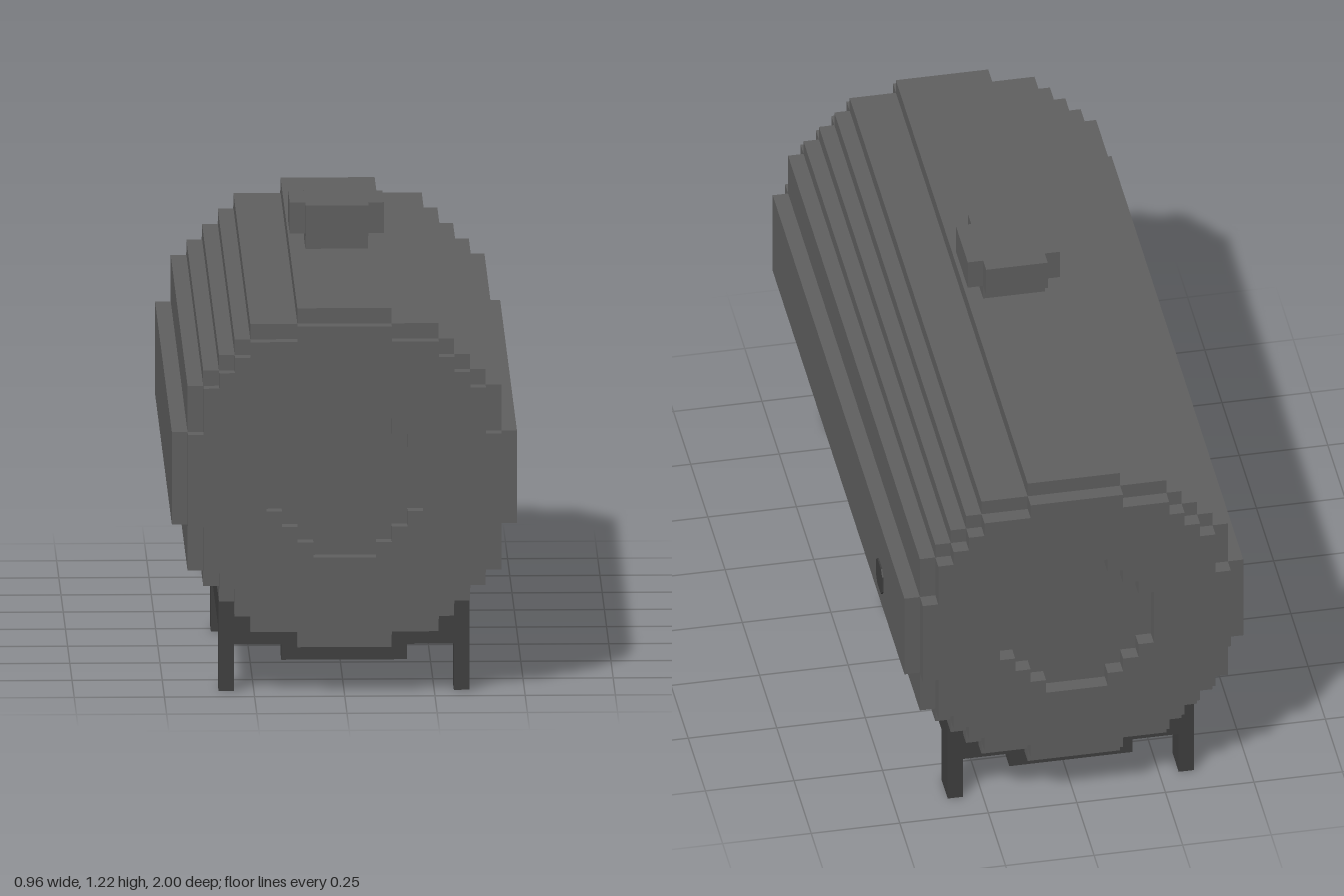
import * as THREE from 'three';

const U = 2 / 46; // one block

const bodyGrey = new THREE.MeshStandardMaterial({ color: 0x606060 });
bodyGrey.name = 'tank grey';
const frameGrey = new THREE.MeshStandardMaterial({ color: 0x404040 });
frameGrey.name = 'frame dark grey';

// Box given by its limits in blocks
function box(name, mat, x0, x1, y0, y1, z0, z1) {
  const m = new THREE.Mesh(new THREE.BoxGeometry((x1 - x0) * U, (y1 - y0) * U, (z1 - z0) * U), mat);
  m.position.set((x0 + x1) / 2 * U, (y0 + y1) / 2 * U, (z0 + z1) / 2 * U);
  m.name = name;
  return m;
}

// Stepped disc outline from the outer corners of one quadrant
function steppedOutline(corners) {
  const q = [];
  corners.forEach(([x, y], i) => {
    if (i) q.push([x, corners[i - 1][1]]);
    q.push([x, y]);
  });
  const r = [...q].reverse();
  return [
    ...q,
    ...r.map(([x, y]) => [-x, y]),
    ...q.map(([x, y]) => [-x, -y]),
    ...r.map(([x, y]) => [x, -y]),
  ].map(([x, y]) => new THREE.Vector2(x * U, y * U));
}

function extrude(name, mat, shape, z0, z1) {
  const g = new THREE.ExtrudeGeometry(shape, { depth: (z1 - z0) * U, bevelEnabled: false });
  const m = new THREE.Mesh(g, mat);
  m.position.set(0, 14 * U, z0 * U);
  m.name = name;
  return m;
}

export function createModel() {
  const model = new THREE.Group();
  model.name = 'storageTank';

  // Tank barrel
  const barrel = new THREE.Shape(steppedOutline([[11, 3], [10, 6], [9, 7], [8, 8], [7, 9], [6, 10], [3, 11]]));
  model.add(extrude('barrel', bodyGrey, barrel, -22, 22));

  // End plates with a stepped round recess
  const end = new THREE.Shape(steppedOutline([[10, 3], [9, 6], [8, 7], [7, 8], [6, 9], [3, 10]]));
  end.holes.push(new THREE.Path(steppedOutline([[5, 2], [4, 3], [3, 4], [2, 5]])));
  model.add(extrude('frontEndPlate', bodyGrey, end, 22, 23));
  model.add(extrude('backEndPlate', bodyGrey, end, -23, -22));

  // Filler neck and cross-shaped lid
  model.add(box('fillerNeck', bodyGrey, -2, 2, 25, 26, -2, 2));
  const lid = new THREE.Shape(steppedOutline([[3, 2], [2, 3]]));
  const lidMesh = extrude('fillerLid', bodyGrey, lid, 0, 2);
  lidMesh.rotation.x = -Math.PI / 2;
  lidMesh.position.set(0, 26 * U, 0);
  model.add(lidMesh);

  // Stand: side rails, legs and cross saddles
  const stand = new THREE.Group();
  stand.name = 'stand';
  for (const s of [-1, 1]) {
    const x0 = s > 0 ? 7 : -8;
    stand.add(box('sideRail', frameGrey, x0, x0 + 1, 4, 6, -21, 21));
    for (const z of [-20, 0, 20]) stand.add(box('leg', frameGrey, x0, x0 + 1, 0, 4, z - 1, z + 1));
  }
  for (const z of [-20, 0, 20]) {
    stand.add(box('crossSaddle', frameGrey, -7, 7, 3, 5, z - 1, z + 1));
    stand.add(box('saddleKeel', frameGrey, -4, 4, 2, 3, z - 1, z + 1));
  }
  model.add(stand);

  // Small outlet spot on the left side
  const spot = new THREE.Shape(steppedOutline([[1, 0.6], [0.6, 1]]).filter((p, i) => i % 3 !== 1));
  const spotMesh = new THREE.Mesh(new THREE.ExtrudeGeometry(spot, { depth: 0.004, bevelEnabled: false }), frameGrey);
  spotMesh.rotation.y = Math.PI / 2;
  spotMesh.position.set(11 * U, 13 * U, -14 * U);
  spotMesh.name = 'outletSpot';
  model.add(spotMesh);

  return model;
}
